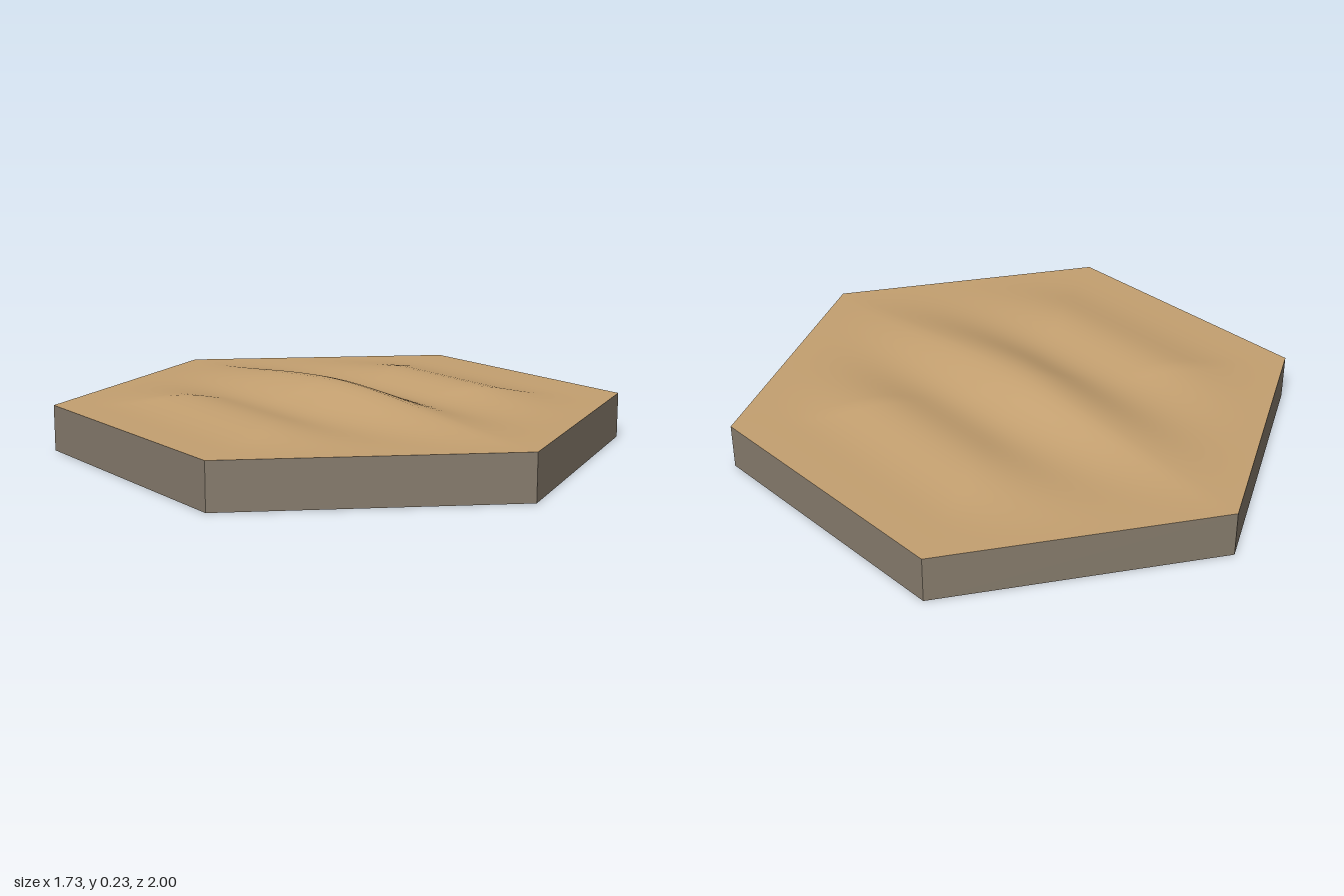
import * as THREE from 'three';
import { mergeVertices } from 'three/addons/utils/BufferGeometryUtils.js';

const BASE = 0.16, APOTHEM = Math.sqrt(3) / 2, DUNE = 0.07, N = 28;

// Hexagon corner k, with corners on +z and -z
const corner = (k) => [Math.sin(k * Math.PI / 3), Math.cos(k * Math.PI / 3)];

// Dune height: wavy ridges along z that fade out towards the hexagon's rim
function height(x, z) {
  const d = Math.max(Math.abs(x), Math.abs(x) / 2 + Math.abs(z) * APOTHEM) / APOTHEM;
  const fade = 1 - THREE.MathUtils.smoothstep(d, 0, 1);
  const bend = 0.03 + 0.02 * Math.sin(3 * z) - 0.04 * z;
  const ridge = 0.5 + 0.5 * Math.cos((x + bend) * Math.PI * 2 / 0.5);
  return BASE + DUNE * fade * ridge;
}

// Six triangular sectors, each divided into N rows of small triangles
function duneGeometry() {
  const pos = [];
  for (let k = 0; k < 6; k++) {
    const a = corner(k), b = corner(k + 1);
    const put = (i, j) => {
      const x = (a[0] * i + b[0] * j) / N, z = (a[1] * i + b[1] * j) / N;
      pos.push(x, height(x, z), z);
    };
    for (let i = 0; i < N; i++) {
      for (let j = 0; i + j < N; j++) {
        put(i, j); put(i + 1, j); put(i, j + 1);
        if (i + j < N - 1) { put(i + 1, j); put(i + 1, j + 1); put(i, j + 1); }
      }
    }
  }
  const geo = new THREE.BufferGeometry();
  geo.setAttribute('position', new THREE.Float32BufferAttribute(pos, 3));
  const smooth = mergeVertices(geo, 1e-4);
  smooth.computeVertexNormals();
  return smooth;
}

export function createModel() {
  const group = new THREE.Group();
  group.name = 'desertTile';
  const sand = new THREE.MeshStandardMaterial({ color: 0xc4a070 });
  sand.name = 'sand';
  const stone = new THREE.MeshStandardMaterial({ color: 0x877c6d });
  stone.name = 'stone';

  const add = (name, geo, mat) => {
    const mesh = new THREE.Mesh(geo, mat);
    mesh.name = name;
    group.add(mesh);
    return mesh;
  };

  // Rim walls with flat faces
  const walls = new THREE.CylinderGeometry(1, 1, BASE, 6, 1, true).toNonIndexed();
  walls.computeVertexNormals();
  add('baseWalls', walls, stone).position.y = BASE / 2;

  // Underside
  const bottom = new THREE.CircleGeometry(1, 6, Math.PI / 2);
  bottom.rotateX(Math.PI / 2);
  add('baseBottom', bottom, stone);

  // Sand surface
  add('dunes', duneGeometry(), sand);
  return group;
}
